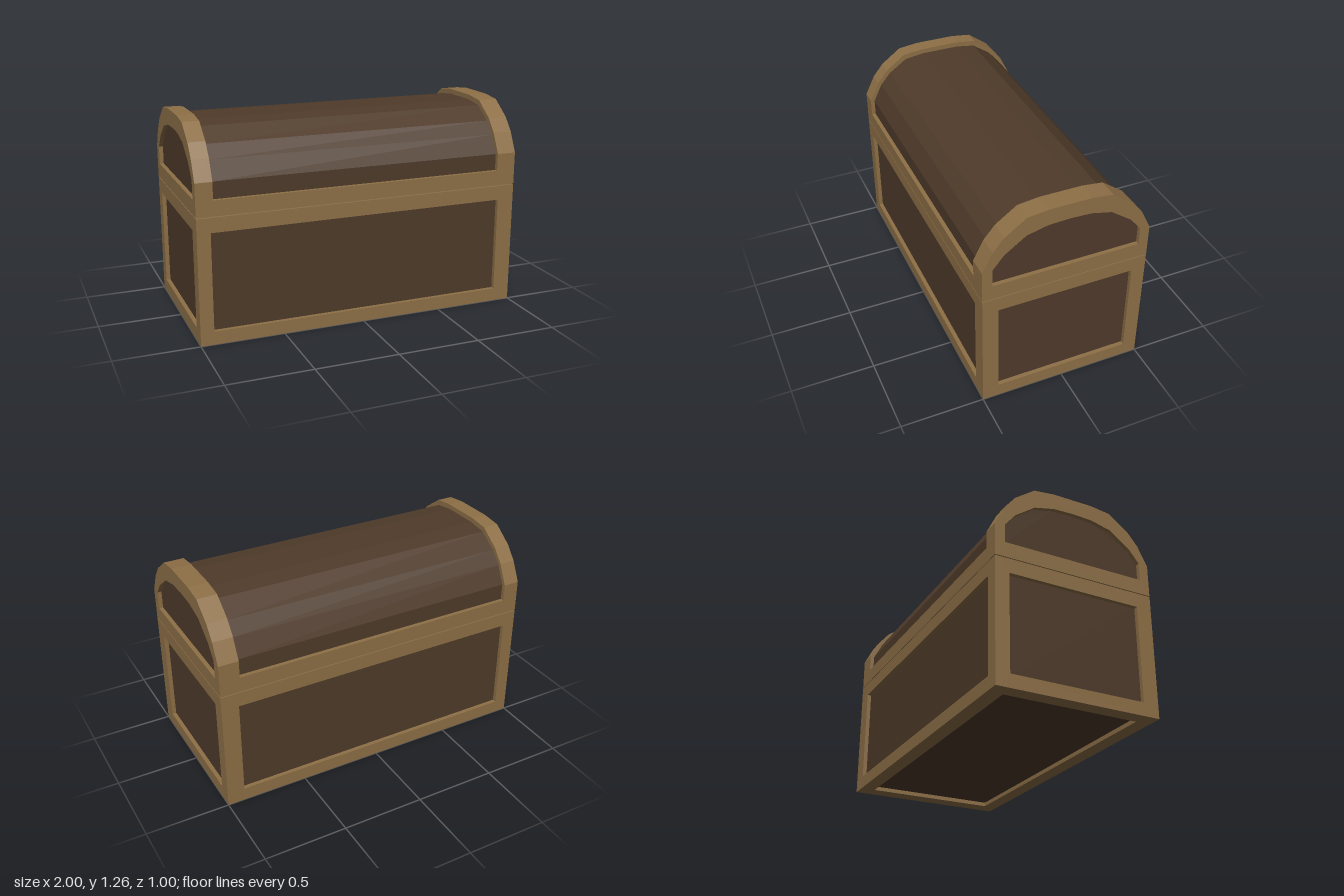
import * as THREE from 'three';

const gold = new THREE.MeshStandardMaterial({ color: 0x8e7047, flatShading: true });
const brown = new THREE.MeshStandardMaterial({ color: 0x4f3b2a, flatShading: true });

const INSET = 0.025;    // depth of the recessed panels
const BASE_TOP = 0.753;
const LID_BOTTOM = 0.758;
const SILL = 0.85;      // top of the lid's straight rim

const poly = (pts) => new THREE.Shape(pts.map(([x, y]) => new THREE.Vector2(x, y)));
const rect = (x0, y0, x1, y1) => poly([[x0, y0], [x1, y0], [x1, y1], [x0, y1]]);

// Closed arch: half outline mirrored, standing on y = bottom
function arch(bottom, half) {
  const right = [[half[0][0], bottom], ...half];
  const left = right.map(([x, y]) => [-x, y]).reverse();
  return poly([...right, ...left.filter(([x]) => x !== 0)]);
}

function withHole(shape, hole) {
  shape.holes.push(hole);
  return shape;
}

const extrude = (shape, depth) => new THREE.ExtrudeGeometry(shape, { depth, bevelEnabled: false });

// Extrudes a (-z, y) shape along x from x0 to x1
const extrudeX = (shape, x0, x1) => extrude(shape, x1 - x0).rotateY(Math.PI / 2).translate(x0, 0, 0);

function add(group, name, geometry, material) {
  const mesh = new THREE.Mesh(geometry, material);
  mesh.name = name;
  group.add(mesh);
}

function box(x0, y0, z0, x1, y1, z1) {
  return new THREE.BoxGeometry(x1 - x0, y1 - y0, z1 - z0)
    .translate((x0 + x1) / 2, (y0 + y1) / 2, (z0 + z1) / 2);
}

function createBase() {
  const base = new THREE.Group();
  base.name = 'base';
  const x = 1 - INSET, z = 0.5 - INSET;

  // Dark body showing through the frames as panels
  add(base, 'basePanels', box(-x, INSET, -z, x, BASE_TOP - 0.02, z), brown);
  add(base, 'baseTop', box(-x, BASE_TOP - 0.02, -z, x, BASE_TOP, z), gold);

  // Front and back frames
  for (const [name, z0] of [['frontFrame', z], ['backFrame', -0.5]]) {
    const shape = withHole(rect(-1, 0, 1, BASE_TOP), rect(-0.92, 0.08, 0.895, 0.665));
    add(base, name, extrude(shape, INSET).translate(0, 0, z0), gold);
  }

  // End frames
  for (const [name, x0] of [['leftFrame', x], ['rightFrame', -1]]) {
    const shape = withHole(rect(-z, 0, z, BASE_TOP), rect(-0.405, 0.08, 0.415, 0.665));
    add(base, name, extrudeX(shape, x0, x0 + INSET), gold);
  }

  // Underside frame
  const under = withHole(rect(-x, -z, x, z), rect(-0.91, -0.41, 0.9, 0.41));
  add(base, 'bottomFrame', extrude(under, INSET).rotateX(-Math.PI / 2), gold);
  return base;
}

function createLid() {
  const lid = new THREE.Group();
  lid.name = 'lid';
  const x0 = -0.9, x1 = 0.88;   // inner faces of the two end arches

  const outer = [[0.5, 0.955], [0.44, 1.075], [0.375, 1.155], [0.25, 1.245], [0.125, 1.26]];
  const inner = [[0.44, 0.96], [0.375, 1.04], [0.25, 1.13], [0.125, 1.16], [0, 1.165]];
  const barrel = [[0.475, 0.95], [0.42, 1.06], [0.355, 1.135], [0.24, 1.213], [0.12, 1.23]];

  // End arches, each with an opening
  for (const [name, a, b] of [['rightArch', -1, x0], ['leftArch', x1, 1]]) {
    const shape = withHole(arch(LID_BOTTOM, outer), arch(SILL, inner));
    add(lid, name, extrudeX(shape, a, b), gold);
  }

  // Straight rim, curved top and recessed end panels
  add(lid, 'lidRim', box(x0, LID_BOTTOM, -0.5, x1, SILL, 0.5), gold);
  add(lid, 'barrelTop', extrudeX(arch(SILL, barrel), x0, x1), brown);
  add(lid, 'rightEndPanel', extrudeX(arch(SILL, inner), -1 + INSET, x0), brown);
  add(lid, 'leftEndPanel', extrudeX(arch(SILL, inner), x1, 1 - INSET), brown);
  return lid;
}

export function createModel() {
  const chest = new THREE.Group();
  chest.name = 'chest';
  chest.add(createBase(), createLid());
  return chest;
}
